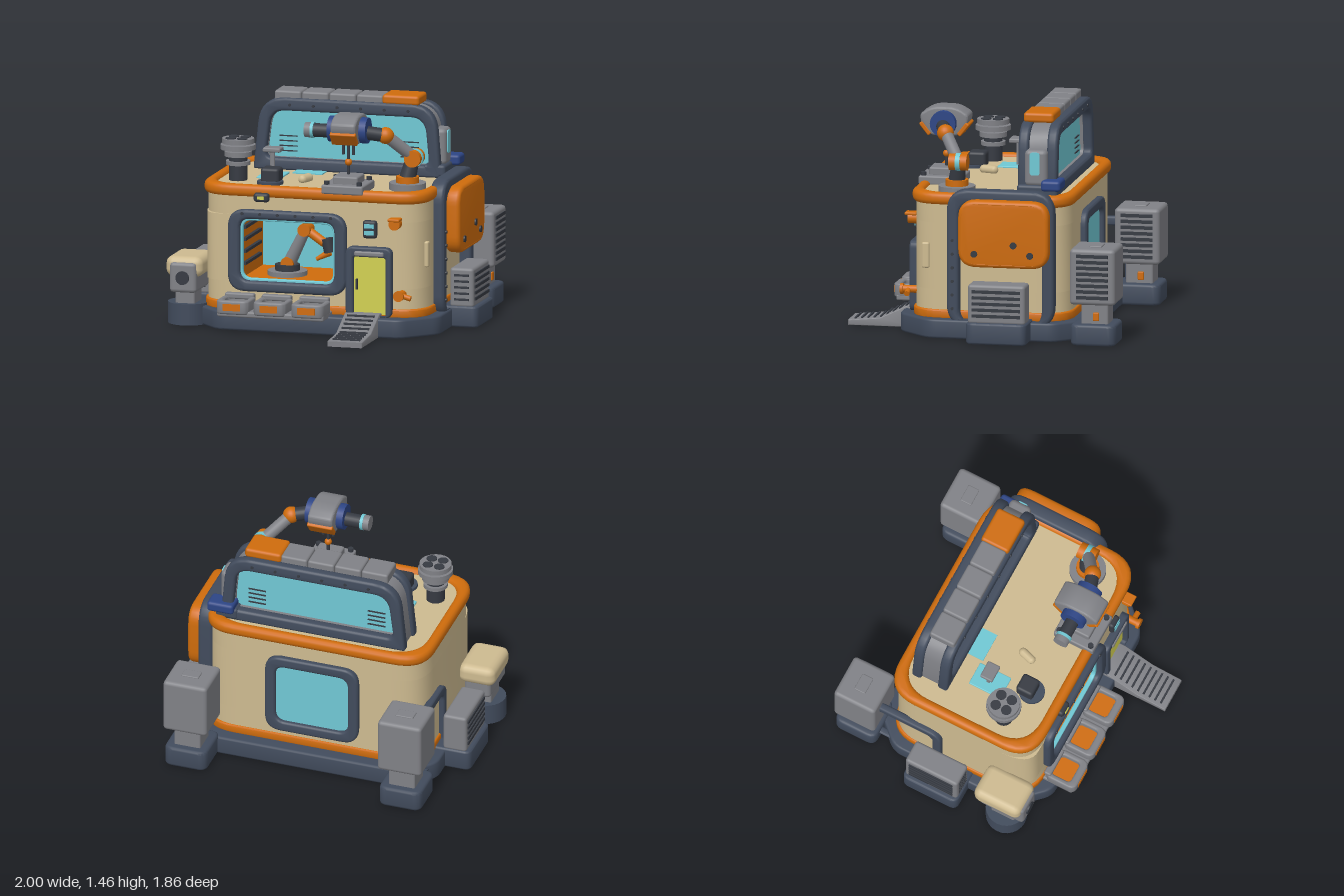
import * as THREE from 'three';
import { toCreasedNormals } from 'three/addons/utils/BufferGeometryUtils.js';
import { RoundedBoxGeometry } from 'three/addons/geometries/RoundedBoxGeometry.js';

const paint = (name, color) => Object.assign(new THREE.MeshStandardMaterial({ color }), { name });
const cream = paint('cream', 0xcdba90), orange = paint('orange', 0xcf6c0c), slate = paint('slate', 0x414b5c);
const grey = paint('grey', 0x808186), cyan = paint('cyan', 0x70c8d4), yellow = paint('yellow', 0xd2d052);
const blue = paint('blue', 0x2d4585), charcoal = paint('charcoal', 0x363a42);

// Polygon with rounded corners; each point is [x, y, radius]
function poly(pts, Type = THREE.Shape) {
  const s = new Type(), n = pts.length;
  const toward = (a, b) => {
    const dx = b[0] - a[0], dy = b[1] - a[1], k = Math.min(a[2] || 0, Math.hypot(dx, dy) / 2) / Math.hypot(dx, dy);
    return [a[0] + dx * k, a[1] + dy * k];
  };
  pts.forEach((p, i) => {
    const a = toward(p, pts[(i + n - 1) % n]), b = toward(p, pts[(i + 1) % n]);
    if (i) s.lineTo(...a); else s.moveTo(...a);
    if (p[2]) s.quadraticCurveTo(p[0], p[1], ...b);
  });
  s.closePath();
  return s;
}
const rect = (x0, x1, y0, y1, r) => [[x0, y0, r], [x1, y0, r], [x1, y1, r], [x0, y1, r]];
const rr = (w, h, r) => poly(rect(-w / 2, w / 2, -h / 2, h / 2, r));
function ring(outer, inner) {
  const s = poly(outer);
  s.holes.push(poly(inner, THREE.Path));
  return s;
}

export function createModel() {
  const root = new THREE.Group();
  root.name = 'workshop';
  const add = (name, geo, mat, pos = [0, 0, 0], rot = [0, 0, 0], parent = root) => {
    const m = new THREE.Mesh(geo, mat);
    m.name = name;
    m.position.set(...pos);
    m.rotation.set(...rot);
    parent.add(m);
    return m;
  };
  // Extrusion growing outward from pos in the given direction
  const turn = { front: [0, 0, 0], right: [0, Math.PI / 2, 0], left: [0, -Math.PI / 2, 0], back: [0, Math.PI, 0], up: [-Math.PI / 2, 0, 0] };
  const ext = (name, shape, depth, bevel, mat, dir, pos) => {
    const g = new THREE.ExtrudeGeometry(shape, { depth: depth - 2 * bevel, bevelEnabled: bevel > 0, bevelSize: bevel, bevelThickness: bevel, bevelOffset: -bevel, bevelSegments: 3, curveSegments: 8 });
    g.translate(0, 0, bevel);
    return add(name, toCreasedNormals(g, 0.6), mat, pos, turn[dir]);
  };
  const box = (name, mat, x0, x1, y0, y1, z0, z1, r = 0.012) =>
    add(name, r ? new RoundedBoxGeometry(x1 - x0, y1 - y0, z1 - z0, 2, r) : new THREE.BoxGeometry(x1 - x0, y1 - y0, z1 - z0), mat, [(x0 + x1) / 2, (y0 + y1) / 2, (z0 + z1) / 2]);
  const cyl = (name, mat, r, h, pos, rot, r2 = r) => add(name, new THREE.CylinderGeometry(r2, r, h, 24), mat, pos, rot);
  const rod = (name, mat, a, b, r, r2 = r) => {
    const A = new THREE.Vector3(...a), B = new THREE.Vector3(...b), d = B.clone().sub(A);
    const m = cyl(name, mat, r, d.length(), A.clone().add(B).multiplyScalar(0.5).toArray(), undefined, r2);
    m.quaternion.setFromUnitVectors(new THREE.Vector3(0, 1, 0), d.normalize());
  };
  const onX = [0, 0, Math.PI / 2], onZ = [Math.PI / 2, 0, 0];

  // Plinth
  ext('plinth', poly([[-0.62, -0.56, 0.06], [0.62, -0.56, 0.06], [0.83, -0.34, 0.06], [0.83, 0.5, 0.06], [0.66, 0.68, 0.06], [-0.66, 0.68, 0.06], [-0.83, 0.5, 0.06], [-0.83, -0.34, 0.06]]), 0.125, 0.015, slate, 'up', [0, 0, 0]);
  for (const s of [-1, 1]) ext('sideFoot', rr(0.3, 0.4, 0.05), 0.14, 0.015, slate, 'up', [s * 0.85, 0, -0.15]);

  // Main body: the middle layer is notched to leave a room behind the front window
  const plan = (g) => rect(-0.75 - g, 0.75 + g, -0.46 - g, 0.58 + g, 0.22);
  ext('lowerBody', poly(plan(0)), 0.2, 0, cream, 'up', [0, 0.11, 0]);
  const [p0, p1, p2, p3] = plan(0);
  ext('middleBody', poly([p0, [-0.5, -0.46], [-0.5, 0.1], [0.18, 0.1], [0.18, -0.46], p1, p2, p3]), 0.44, 0, cream, 'up', [0, 0.31, 0]);
  ext('upperBody', poly(plan(0)), 0.175, 0, cream, 'up', [0, 0.75, 0]);
  ext('lowerTrim', poly(plan(0.012)), 0.06, 0.01, orange, 'up', [0, 0.118, 0]);
  ext('roofTrim', ring(plan(0.02), plan(-0.05)), 0.08, 0.03, orange, 'up', [0, 0.87, 0]);

  // Front window and room
  ext('frontWindowFrame', ring(rect(-0.56, 0.24, 0.25, 0.79, 0.12), rect(-0.48, 0.16, 0.32, 0.73, 0.07)), 0.06, 0.018, slate, 'front', [0, 0, 0.445]);
  ext('frontWindowRim', ring(rect(-0.5, 0.18, 0.3, 0.75, 0.08), rect(-0.465, 0.145, 0.335, 0.715, 0.06)), 0.03, 0.005, cyan, 'front', [0, 0, 0.44]);
  box('roomBack', cyan, -0.5, 0.18, 0.31, 0.75, -0.1, -0.092, 0);
  box('roomFloor', orange, -0.5, 0.18, 0.31, 0.318, -0.1, 0.44, 0);
  for (const [x, m] of [[-0.496, orange], [0.176, cyan]]) box('roomSide', m, x - 0.004, x + 0.004, 0.31, 0.75, -0.1, 0.44, 0);
  for (let i = 0; i < 4; i++) box('roomShelf', charcoal, -0.492, -0.47, 0.4 + i * 0.08, 0.42 + i * 0.08, 0, 0.38, 0);
  cyl('innerArmBase', grey, 0.13, 0.03, [-0.24, 0.335, 0.2]);
  cyl('innerArmTurntable', charcoal, 0.08, 0.04, [-0.24, 0.37, 0.2]);
  rod('innerArmLower', grey, [-0.24, 0.37, 0.2], [-0.11, 0.63, 0.22], 0.045, 0.035);
  rod('innerArmUpper', orange, [-0.11, 0.63, 0.22], [0.02, 0.55, 0.24], 0.03);
  for (const p of [[-0.23, 0.4, 0.2], [-0.11, 0.63, 0.22]]) cyl('innerArmJoint', orange, 0.042, 0.11, p, onZ);
  rod('innerArmHead', charcoal, [0.04, 0.58, 0.24], [0.06, 0.49, 0.24], 0.04);
  rod('innerArmTool', orange, [0.06, 0.49, 0.24], [-0.03, 0.44, 0.25], 0.025, 0.012);

  // Door and ramp
  ext('doorFrame', ring(rect(0.24, 0.55, 0.12, 0.585, 0.05), rect(0.29, 0.51, 0.13, 0.52, 0.02)), 0.07, 0.012, slate, 'front', [0, 0, 0.44]);
  box('door', yellow, 0.29, 0.51, 0.14, 0.52, 0.45, 0.475, 0);
  box('doorHeader', grey, 0.3, 0.5, 0.525, 0.56, 0.48, 0.52);
  box('doorHandle', charcoal, 0.305, 0.315, 0.3, 0.37, 0.47, 0.49, 0);
  ext('ramp', poly([[-0.93, 0], [-0.46, 0], [-0.46, 0.15], [-0.52, 0.15], [-0.72, 0.055], [-0.93, 0.035]]), 0.235, 0.005, grey, 'right', [0.24, 0, 0]);
  for (let i = 0; i < 9; i++) {
    const z = 0.55 + i * 0.042, y = z < 0.72 ? 0.15 - (z - 0.52) * 0.475 : 0.055 - (z - 0.72) * 0.095;
    box('rampTread', charcoal, 0.265, 0.45, y - 0.006, y + 0.009, z - 0.006, z + 0.006, 0);
  }

  // Front bins
  box('binShelf', grey, -0.58, 0.14, 0.11, 0.15, 0.45, 0.68);
  for (const x of [-0.475, -0.225, 0.03]) {
    ext('bin', ring(rect(x - 0.11, x + 0.11, -0.7, -0.48, 0.05), rect(x - 0.075, x + 0.075, -0.65, -0.51, 0.03)), 0.09, 0.012, grey, 'up', [0, 0.13, 0]);
    box('binFill', orange, x - 0.08, x + 0.08, 0.14, 0.175, 0.5, 0.66, 0);
    box('binFront', orange, x - 0.06, x + 0.06, 0.155, 0.2, 0.698, 0.704, 0);
    box('binBack', grey, x - 0.1, x + 0.1, 0.2, 0.24, 0.47, 0.52);
  }

  // Small front fittings
  box('controlBox', charcoal, 0.35, 0.445, 0.64, 0.76, 0.45, 0.495, 0.02);
  for (const y of [0.665, 0.71]) box('controlScreen', cyan, 0.365, 0.43, y, y + 0.028, 0.493, 0.5, 0);
  cyl('wallLamp', orange, 0.038, 0.06, [0.57, 0.745, 0.48], onZ);
  box('wallLampCap', orange, 0.53, 0.61, 0.765, 0.785, 0.45, 0.53, 0.008);
  rod('valvePipe', orange, [0.61, 0.28, 0.42], [0.61, 0.28, 0.54], 0.025);
  cyl('valveWheel', orange, 0.035, 0.02, [0.61, 0.28, 0.545], onZ);
  rod('valveBranch', orange, [0.61, 0.28, 0.5], [0.68, 0.26, 0.5], 0.018);
  box('trimLampHousing', charcoal, -0.385, -0.28, 0.845, 0.905, 0.46, 0.51, 0.02);
  box('trimLamp', yellow, -0.355, -0.31, 0.865, 0.885, 0.508, 0.516, 0);
  box('sideGrip', cream, 0.735, 0.765, 0.45, 0.62, 0.335, 0.385);

  // Back window
  ext('backWindowFrame', ring(rect(-0.32, 0.32, 0.22, 0.78, 0.11), rect(-0.25, 0.25, 0.29, 0.71, 0.07)), 0.05, 0.015, slate, 'back', [0, 0, -0.57]);
  ext('backWindowGlass', rr(0.54, 0.46, 0.06), 0.015, 0, cyan, 'back', [0, 0.5, -0.575]);

  // Right side arch and control panel
  ext('rightArch', ring(rect(-0.21, 0.5, 0.08, 0.985, 0.15), rect(-0.13, 0.42, 0.1, 0.9, 0.1)), 0.1, 0.02, slate, 'right', [0.72, 0, 0]);
  ext('panelRim', ring(rect(-0.12, 0.48, 0.49, 0.93, 0.12), rect(-0.075, 0.435, 0.535, 0.885, 0.09)), 0.1, 0.025, orange, 'right', [0.8, 0, 0]);
  ext('panelFace', poly(rect(-0.1, 0.46, 0.51, 0.91, 0.1)), 0.11, 0, grey, 'right', [0.76, 0, 0]);
  ext('panelInset', poly([[-0.04, 0.555, 0.04], [0.4, 0.555, 0.04], [0.42, 0.74, 0.04], [0.25, 0.74, 0.03], [0.22, 0.775, 0.03], [-0.04, 0.74, 0.04]]), 0.025, 0.008, grey, 'right', [0.865, 0, 0]);
  const screens = [[[-0.05, 0.78, 0.02], [0.1, 0.78, 0.02], [0.1, 0.845, 0.02], [-0.03, 0.845, 0.02]], [[0.3, 0.8, 0.02], [0.4, 0.745, 0.02], [0.42, 0.82, 0.02], [0.34, 0.87, 0.02], [0.27, 0.87, 0.02]], rect(0.06, 0.17, 0.6, 0.64, 0.01)];
  screens.forEach((s, i) => ext('panelScreen', poly(s), 0.03, 0.004, cyan, 'right', [i === 2 ? 0.868 : 0.85, 0, 0]));
  for (const [z, y] of [[-0.25, 0.645], [0.01, 0.58], [-0.36, 0.58]]) cyl('panelKnob', charcoal, 0.022, 0.03, [0.895, y, z], onX);
  ext('leftArch', ring(rect(-0.42, 0.12, 0.08, 0.55, 0.1), rect(-0.36, 0.06, 0.1, 0.49, 0.06)), 0.05, 0.012, slate, 'left', [-0.735, 0, -0.3]);

  // Side vents
  for (const s of [-1, 1]) {
    box('ventBox', grey, s * 0.89 - 0.08, s * 0.89 + 0.08, 0.13, 0.39, -0.34, 0.04, 0.02);
    for (let i = 0; i < 5; i++) {
      box('ventSlat', charcoal, s * 0.972 - 0.006, s * 0.972 + 0.006, 0.175 + i * 0.04, 0.195 + i * 0.04, -0.31, 0.01, 0);
      box('ventFrontSlat', charcoal, s * 0.89 - 0.05, s * 0.89 + 0.05, 0.175 + i * 0.04, 0.19 + i * 0.04, 0.036, 0.043, 0);
    }
  }

  // Rear pods
  for (const x of [-0.71, 0.765]) {
    ext('podFoot', rr(0.29, 0.3, 0.06), 0.14, 0.02, slate, 'up', [x, 0, -0.775]);
    box('podNeck', grey, x - 0.09, x + 0.09, 0.13, 0.3, -0.87, -0.69);
    box('podBody', grey, x - 0.15, x + 0.15, 0.27, 0.64, -0.925, -0.625, 0.025);
    box('podHatch', grey, x - 0.06, x + 0.06, 0.63, 0.648, -0.82, -0.74, 0.006);
    box('podLatch', orange, x + 0.08, x + 0.1, 0.16, 0.215, -0.81, -0.77, 0.006);
    for (let i = 0; i < 8; i++) box('podSlat', charcoal, x + 0.145, x + 0.156, 0.31 + i * 0.039, 0.332 + i * 0.039, -0.88, -0.67, 0);
  }

  // Front left pod
  cyl('frontPodFoot', slate, 0.135, 0.14, [-0.865, 0.07, 0.35]);
  box('frontPodNeck', grey, -0.93, -0.8, 0.12, 0.25, 0.27, 0.44);
  box('frontPodCore', grey, -0.95, -0.77, 0.22, 0.42, 0.19, 0.515, 0.025);
  box('frontPodShell', cream, -0.985, -0.735, 0.32, 0.455, 0.16, 0.5, 0.05);
  cyl('frontPodLens', charcoal, 0.045, 0.02, [-0.86, 0.32, 0.515], onZ);

  // Rooftop window tower
  const towerOuter = (g) => [[-0.6 + g, 0.92, 0.02], [0.67 - g, 0.92, 0.02], [0.63 - g, 1.4 - g, 0.17], [-0.55 + g, 1.4 - g, 0.17]];
  const towerHole = [[-0.52, 1.0, 0.05], [0.59, 1.0, 0.05], [0.56, 1.315, 0.1], [-0.48, 1.315, 0.1]];
  for (const z of [-0.3, -0.49]) ext('towerFrame', ring(towerOuter(0), towerHole), 0.07, 0.018, slate, 'front', [0, 0, z]);
  ext('towerCore', ring(towerOuter(0.02), towerHole), 0.14, 0, grey, 'front', [0, 0, -0.43]);
  ext('towerGlass', poly(towerOuter(0.05)), 0.1, 0, cyan, 'front', [0, 0, -0.41]);
  for (const x of [-0.38, 0.44]) for (const z of [-0.306, -0.414]) for (let i = 0; i < 4; i++)
    box('towerVent', charcoal, x - 0.06, x + 0.06, 1.035 + i * 0.033, 1.042 + i * 0.033, z - 0.004, z + 0.004, 0);
  for (let i = 0; i < 4; i++) box('towerRoofBlock', grey, -0.46 + i * 0.185, -0.28 + i * 0.185, 1.37, 1.445, -0.43, -0.25, 0.015);
  box('towerBeacon', orange, 0.27, 0.52, 1.39, 1.455, -0.44, -0.24, 0.02);
  box('towerEnd', grey, 0.58, 0.69, 1.0, 1.24, -0.43, -0.28, 0.03);
  ext('towerEndGlass', rr(0.065, 0.15, 0.02), 0.009, 0, cyan, 'right', [0.686, 1.15, -0.35]);
  box('towerFoot', slate, 0.55, 0.7, 0.93, 1.01, -0.5, -0.23, 0.02);
  box('towerHinge', blue, 0.57, 0.75, 0.98, 1.05, -0.53, -0.4, 0.02);

  // Rooftop equipment
  cyl('turbinePost', charcoal, 0.06, 0.18, [-0.58, 1.01, 0.18]);
  cyl('turbineCollar', grey, 0.08, 0.025, [-0.58, 1.04, 0.18]);
  for (const [y, r] of [[1.1, 0.09], [1.145, 0.115], [1.185, 0.105]]) cyl('turbineDisc', grey, r, 0.032, [-0.58, y, 0.18]);
  for (let i = 0; i < 4; i++) {
    const a = Math.PI / 4 + i * Math.PI / 2;
    cyl('turbineFan', charcoal, 0.034, 0.008, [-0.58 + Math.cos(a) * 0.055, 1.203, 0.18 + Math.sin(a) * 0.055]);
  }
  box('roofHatch', cyan, -0.48, -0.32, 0.92, 0.936, -0.13, 0.1, 0.006);
  box('monitorPost', grey, -0.42, -0.39, 0.93, 1.09, -0.035, -0.01, 0.006);
  box('monitorHead', grey, -0.46, -0.34, 1.085, 1.115, -0.06, 0.03, 0.01);
  box('roofPane', cyan, -0.3, -0.1, 0.92, 0.932, -0.24, -0.12, 0);
  cyl('crateBase', slate, 0.085, 0.02, [-0.34, 0.935, 0.26]);
  box('crate', charcoal, -0.4, -0.275, 0.93, 1.03, 0.17, 0.29, 0.02);
  add('roofPebble', new THREE.CapsuleGeometry(0.03, 0.07, 4, 10), cream, [-0.14, 0.945, 0.12], [Math.PI / 2, 0, 0.3]);
  box('workPlate', grey, 0.07, 0.35, 0.92, 0.98, 0.2, 0.49);
  box('workBlock', grey, 0.13, 0.3, 0.97, 1.03, 0.26, 0.43);
  for (const x of [0.1, 0.32]) for (const z of [0.23, 0.46]) cyl('plateBolt', charcoal, 0.018, 0.025, [x, 0.99, z]);

  // Rooftop robot arm
  cyl('armBase', grey, 0.12, 0.05, [0.57, 0.945, 0.19]);
  cyl('armTurntable', orange, 0.075, 0.05, [0.57, 0.985, 0.19]);
  rod('armShoulder', charcoal, [0.57, 1.0, 0.19], [0.6, 1.13, 0.17], 0.055, 0.045);
  cyl('armShoulderJoint', orange, 0.055, 0.12, [0.61, 1.13, 0.17], onZ);
  cyl('armShoulderRing', cyan, 0.06, 0.03, [0.61, 1.13, 0.17], onZ);
  rod('armUpper', grey, [0.61, 1.13, 0.17], [0.46, 1.28, 0.28], 0.04);
  add('armElbow', new THREE.SphereGeometry(0.055, 20, 14), orange, [0.45, 1.29, 0.29]);
  rod('armFore', charcoal, [0.45, 1.29, 0.29], [0.33, 1.31, 0.33], 0.045);
  ext('armHead', poly([[-0.49, 1.38, 0.02], [-0.485, 1.33], [-0.42, 1.24, 0.03], [-0.24, 1.24, 0.03], [-0.175, 1.33], [-0.17, 1.38, 0.02], [-0.25, 1.43, 0.05], [-0.41, 1.43, 0.05]]), 0.17, 0.015, grey, 'right', [0.13, 0, 0]);
  for (const s of [-1, 1]) add('armHeadGuard', new RoundedBoxGeometry(0.175, 0.03, 0.1, 2, 0.008), orange, [0.215, 1.285, 0.33 + s * 0.125], [-s * 0.9, 0, 0]);
  cyl('armHeadHub', blue, 0.085, 0.26, [0.215, 1.325, 0.33], onX);
  rod('armBarrel', charcoal, [0.1, 1.31, 0.33], [-0.02, 1.31, 0.33], 0.045);
  rod('armBarrelTip', grey, [-0.03, 1.31, 0.33], [-0.08, 1.31, 0.33], 0.05);
  cyl('armBarrelRing', cyan, 0.053, 0.02, [-0.03, 1.31, 0.33], onX);
  for (const x of [0.175, 0.21, 0.245]) rod('armTool', charcoal, [x, 1.25, 0.33], [x, x === 0.21 ? 1.03 : 1.16, 0.33], 0.01);
  add('armToolBall', new THREE.SphereGeometry(0.024, 16, 12), orange, [0.21, 1.11, 0.33]);

  // Frame bolts
  for (let i = 0; i < 6; i++) {
    cyl('archBolt', charcoal, 0.01, 0.012, [0.825, 0.2 + i * 0.09, 0.17], onX);
    cyl('windowBolt', charcoal, 0.01, 0.012, [-0.46 + i * 0.12, 0.765, 0.505], onZ);
    for (const z of [-0.23, -0.49]) cyl('towerBolt', charcoal, 0.01, 0.012, [-0.35 + i * 0.16, 1.355, z], onZ);
  }
  return root;
}
